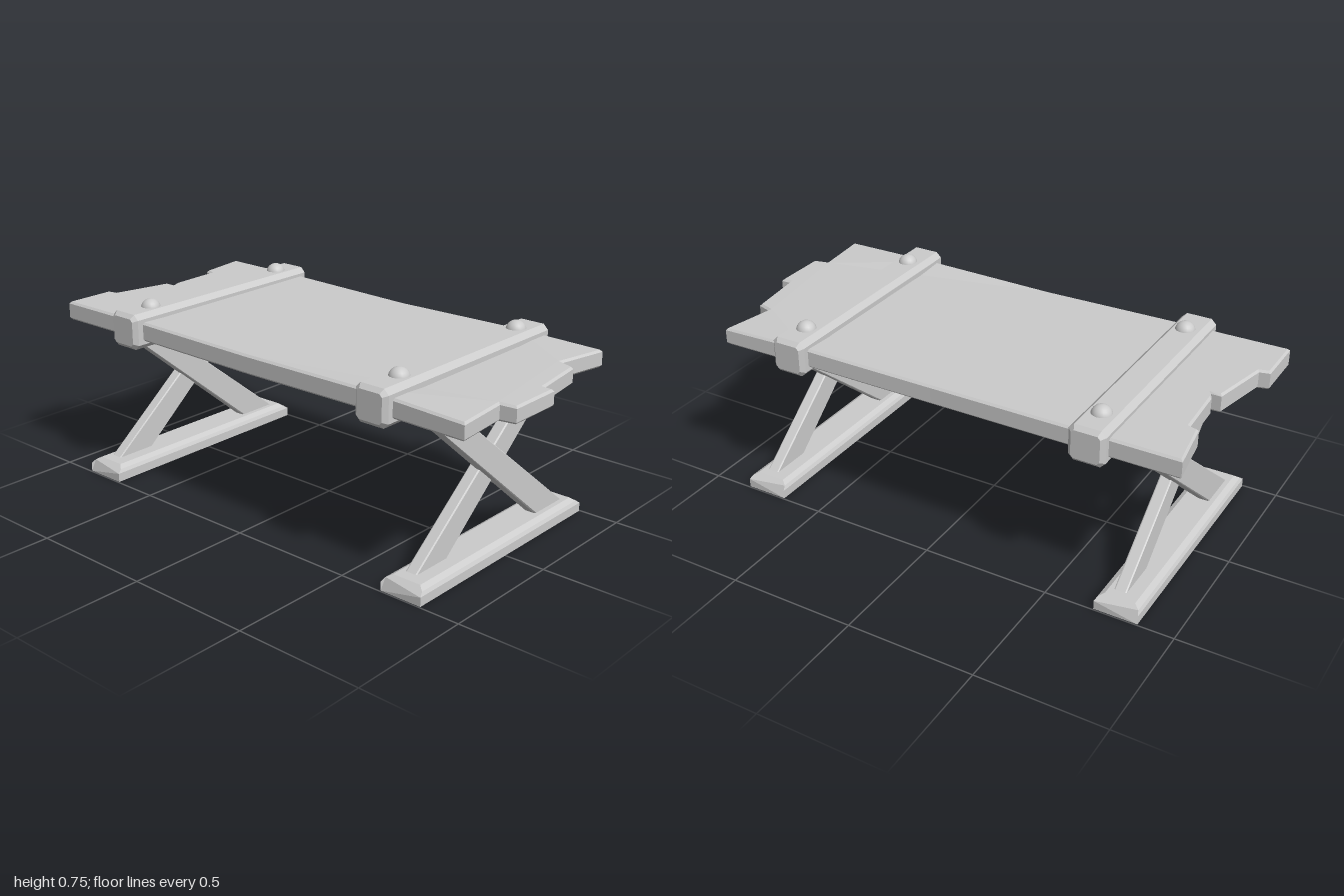
import * as THREE from 'three';

const material = new THREE.MeshStandardMaterial({ color: 0xcccccc });

function add(parent, name, geometry, x = 0, y = 0, z = 0) {
  const mesh = new THREE.Mesh(geometry, material);
  mesh.name = name;
  mesh.position.set(x, y, z);
  parent.add(mesh);
  return mesh;
}

// Extrudes an outline, centred along its depth, with an inward chamfer
function slab(points, depth, bevel) {
  const shape = new THREE.Shape(points.map(([x, y]) => new THREE.Vector2(x, y)));
  const geometry = new THREE.ExtrudeGeometry(shape, {
    depth: depth - 2 * bevel, bevelEnabled: bevel > 0, bevelSegments: 1,
    bevelThickness: bevel, bevelSize: bevel, bevelOffset: -bevel,
  });
  return geometry.translate(0, 0, bevel - depth / 2);
}

// Moves each vertex by a rule
function reshape(geometry, rule) {
  const p = geometry.attributes.position;
  const v = new THREE.Vector3();
  for (let i = 0; i < p.count; i++) {
    rule(v.fromBufferAttribute(p, i));
    p.setXYZ(i, v.x, v.y, v.z);
  }
  geometry.computeVertexNormals();
  return geometry;
}

// Plank top with ragged ends and a slight sag
function tabletop() {
  const outline = [
    [-0.96, -0.455], [-0.93, -0.25], [-0.895, -0.24], [-0.885, -0.03], [-0.87, 0],
    [-0.91, 0], [-0.96, 0.23], [-1, 0.24], [-1, 0.445], [-0.55, 0.44], [0, 0.437],
    [0.55, 0.44], [0.96, 0.45], [0.94, 0.23], [1, 0.22], [1, 0], [0.96, 0],
    [0.93, -0.23], [0.87, -0.25], [0.91, -0.46], [0.55, -0.455], [0, -0.447], [-0.55, -0.455],
  ];
  const geometry = slab(outline, 0.075, 0.008).rotateX(Math.PI / 2);
  return reshape(geometry, (v) => {
    v.y += 0.646 - 0.006 * Math.max(0, 1 - Math.abs(v.x) / 0.55);
    if (v.x > 0.65 && v.y > 0.65) v.y -= (v.x - 0.65) * 0.03;
  });
}

// Chamfered strap across the top with two round studs
function strap(x, studs) {
  const group = new THREE.Group();
  group.name = 'strap';
  const w = 0.07, h = 0.07, c = 0.02;
  const profile = [[-w + c, -h], [w - c, -h], [w, -h + c], [w, h - c],
    [w - c, h], [-w + c, h], [-w, h - c], [-w, -h + c]];
  add(group, 'strapBeam', slab(profile, 0.97, 0.016), 0, 0.646, -0.005);
  for (const [sx, z] of studs) add(group, 'stud', new THREE.SphereGeometry(0.039, 20, 14), sx, 0.707, z);
  group.position.x = x;
  return group;
}

// Crossed trestle: two leaning bars on a chamfered foot
function trestle(x) {
  const group = new THREE.Group();
  group.name = 'trestle';
  for (const [side, offset, lean] of [[1, 0.015, 0], [-1, -0.016, 0.012]]) {
    const at = (z, y) => [side * (z + lean), y];
    // Bar ends run into the top and the foot
    let outline = [at(-0.28, 0.04), at(0.425, 0.63), at(0.285, 0.63), at(-0.455, 0.04)];
    if (side < 0) outline.reverse();
    const bar = slab(outline, 0.048, 0.005).rotateY(-Math.PI / 2);
    add(group, 'crossBar', bar, offset);
  }
  const profile = [[-0.085, 0], [0.085, 0], [0.085, 0.035], [0.078, 0.048], [0.058, 0.06],
    [-0.058, 0.06], [-0.078, 0.048], [-0.085, 0.035]];
  const foot = reshape(slab(profile, 0.99, 0), (v) => {
    v.z -= Math.sign(v.z) * Math.max(0, v.y - 0.035) * 1.3;
  });
  add(group, 'foot', foot);
  group.position.x = x;
  return group;
}

export function createModel() {
  const model = new THREE.Group();
  model.name = 'table';
  add(model, 'tabletop', tabletop());
  model.add(strap(-0.63, [[0.003, -0.365], [0.005, 0.34]]));
  model.add(strap(0.597, [[0, -0.365], [0.003, 0.327]]));
  model.add(trestle(-0.775), trestle(0.755));
  return model;
}
